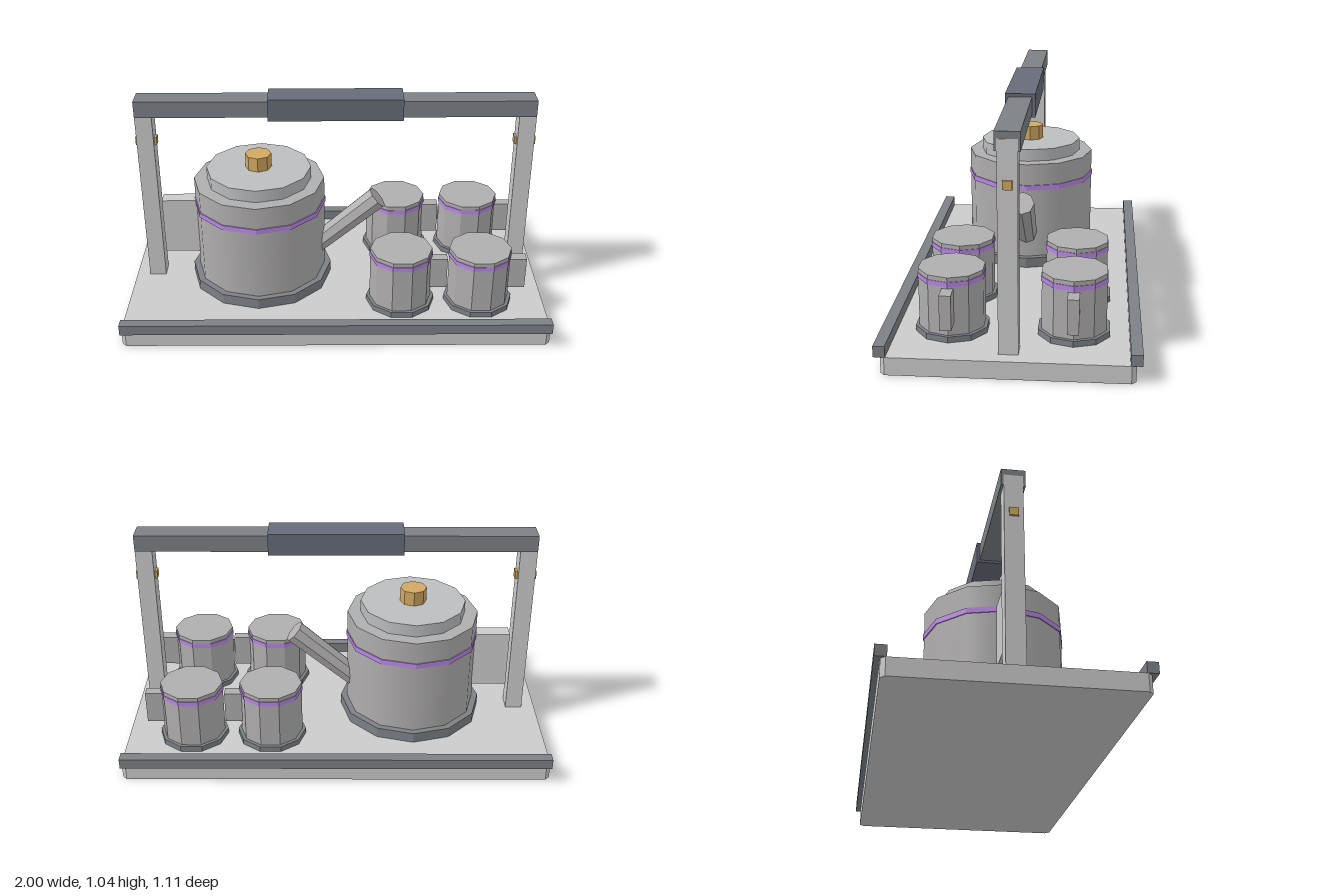
import * as THREE from 'three';

const mat = (color, flatShading = false) => new THREE.MeshStandardMaterial({ color, flatShading });
const light = mat(0xcccccc, true);
const pewter = mat(0xb0aeae, true);
const potSmooth = mat(0xb0aeae);
const lidSmooth = mat(0xbbbdbf);
const dark = mat(0x7d8186, true);
const gripDark = mat(0x666c78, true);
const gold = mat(0xd0a860, true);
const purple = mat(0xbb88e6, true);

function add(parent, name, geometry, material) {
  const mesh = new THREE.Mesh(geometry, material);
  mesh.name = name;
  parent.add(mesh);
  return mesh;
}

// Box given by its min and max on each axis
function box(parent, name, [x0, x1], [y0, y1], [z0, z1], material) {
  const mesh = add(parent, name, new THREE.BoxGeometry(x1 - x0, y1 - y0, z1 - z0), material);
  mesh.position.set((x0 + x1) / 2, (y0 + y1) / 2, (z0 + z1) / 2);
  return mesh;
}

// Upright prism with a corner pointing along x
function drum(parent, name, radius, y0, y1, sides, material) {
  const geometry = new THREE.CylinderGeometry(radius, radius, y1 - y0, sides).rotateY(Math.PI / 2);
  const mesh = add(parent, name, geometry, material);
  mesh.position.y = (y0 + y1) / 2;
  return mesh;
}

function createTray() {
  const tray = new THREE.Group();
  tray.name = 'tray';
  // Slab with clipped corners
  const X = 1, Z = 0.528, c = 0.02;
  const outline = new THREE.Shape([
    [X, c - Z], [X, Z - c], [X - c, Z], [c - X, Z],
    [-X, Z - c], [-X, c - Z], [c - X, -Z], [X - c, -Z],
  ].map(([x, z]) => new THREE.Vector2(x, z)));
  const slab = new THREE.ExtrudeGeometry(outline, { depth: 0.08, bevelEnabled: false });
  add(tray, 'traySlab', slab.rotateX(-Math.PI / 2), light);
  for (const s of [-1, 1]) {
    const rail = box(tray, 'trayRail', [-1, 1], [0.08, 0.13], [-0.025, 0.025], dark);
    rail.position.z = s * 0.528;
  }
  return tray;
}

function createCarryFrame() {
  const frame = new THREE.Group();
  frame.name = 'carryFrame';
  for (const s of [-1, 1]) {
    box(frame, 'post', [-0.04, 0.04], [0.08, 1], [-0.042, 0.042], light).position.x = s * 0.896;
    box(frame, 'postPin', [-0.05, 0.05], [0.795, 0.833], [-0.02, 0.02], gold).position.x = s * 0.895;
  }
  box(frame, 'topBar', [-0.934, 0.934], [0.95, 1.03], [-0.053, 0.053], dark);
  box(frame, 'grip', [-0.315, 0.315], [0.938, 1.045], [-0.068, 0.068], gripDark);
  return frame;
}

function createTeapot() {
  const pot = new THREE.Group();
  pot.name = 'teapot';
  drum(pot, 'potFoot', 0.345, 0.08, 0.13, 12, dark);
  drum(pot, 'potBody', 0.315, 0.13, 0.61, 12, potSmooth);
  drum(pot, 'potBand', 0.32, 0.478, 0.503, 12, purple);
  drum(pot, 'potLid', 0.252, 0.61, 0.67, 12, lidSmooth);
  drum(pot, 'lidKnob', 0.063, 0.67, 0.74, 8, gold);
  box(pot, 'potHandle', [-0.475, -0.28], [0.215, 0.5], [-0.035, 0.035], light);

  // Spout leaning out of the body
  const start = new THREE.Vector3(0.23, 0.197, 0);
  const end = new THREE.Vector3(0.575, 0.4975, 0);
  const axis = end.clone().sub(start);
  const spout = add(pot, 'spout', new THREE.CylinderGeometry(0.057, 0.05, axis.length(), 8), pewter);
  spout.position.copy(start).lerp(end, 0.5);
  spout.rotation.z = Math.atan2(axis.y, axis.x) - Math.PI / 2;
  pot.position.x = -0.37;
  return pot;
}

function createCup(x, z) {
  const cup = new THREE.Group();
  cup.name = 'cup';
  drum(cup, 'cupFoot', 0.163, 0.08, 0.107, 10, dark);
  drum(cup, 'cupBody', 0.147, 0.107, 0.37, 10, pewter);
  drum(cup, 'cupBand', 0.15, 0.328, 0.35, 10, purple);
  box(cup, 'cupHandle', [0.12, 0.22], [0.163, 0.32], [-0.025, 0.025], pewter);
  cup.position.set(x, 0, z);
  return cup;
}

export function createModel() {
  const model = new THREE.Group();
  model.name = 'teaTray';
  model.add(createTray(), createCarryFrame(), createTeapot());
  for (const x of [0.31, 0.685]) for (const z of [-0.265, 0.265]) model.add(createCup(x, z));
  return model;
}
